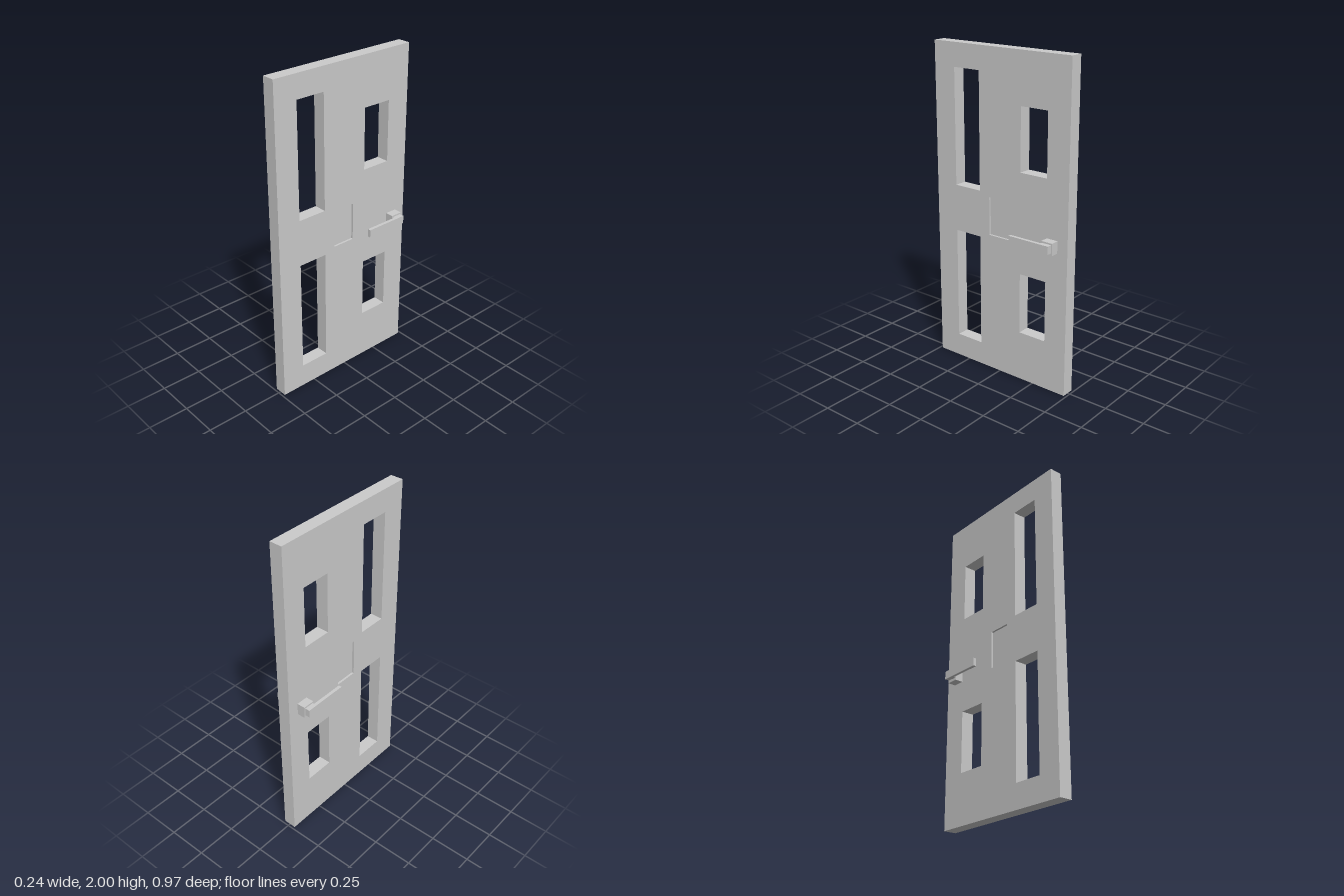
import * as THREE from 'three';

const grey = new THREE.MeshStandardMaterial({ color: 0xcccccc, flatShading: true });

// Box given by its min and max on each axis
function block(name, [x0, x1], [y0, y1], [z0, z1]) {
  const mesh = new THREE.Mesh(new THREE.BoxGeometry(x1 - x0, y1 - y0, z1 - z0), grey);
  mesh.position.set((x0 + x1) / 2, (y0 + y1) / 2, (z0 + z1) / 2);
  mesh.name = name;
  return mesh;
}

// Rectangle outline in the door's plane (z across, y up)
function outline(Type, z0, z1, y0, y1) {
  const path = new Type();
  path.moveTo(z0, y0);
  path.lineTo(z1, y0);
  path.lineTo(z1, y1);
  path.lineTo(z0, y1);
  path.closePath();
  return path;
}

export function createModel() {
  const group = new THREE.Group();
  group.name = 'door';
  const thickness = 0.08;
  const recess = { z: [-0.065, 0.079], y: [0.885, 1.12], depth: 0.013 };

  // Door leaf with four window openings and a central recess
  const leafShape = outline(THREE.Shape, -0.484, 0.484, 0, 2);
  const openings = [
    [0.151, 0.336, 1.147, 1.857],
    [0.151, 0.336, 0.147, 0.857],
    [-0.336, -0.151, 1.312, 1.692],
    [-0.336, -0.151, 0.312, 0.692],
    [...recess.z, ...recess.y],
  ];
  for (const o of openings) leafShape.holes.push(outline(THREE.Path, ...o));
  const leafGeometry = new THREE.ExtrudeGeometry(leafShape, { depth: thickness, bevelEnabled: false });
  leafGeometry.translate(0, 0, -thickness / 2);
  leafGeometry.rotateY(-Math.PI / 2);
  const leaf = new THREE.Mesh(leafGeometry, grey);
  leaf.name = 'doorLeaf';
  group.add(leaf);

  // Thin panel closing the recess, set back from both faces
  const half = thickness / 2 - recess.depth;
  group.add(block('recessedPanel', [-half, half], recess.y, recess.z));

  // Handle on each face: stem, neck and lever
  for (const [name, side] of [['leftHandle', 1], ['rightHandle', -1]]) {
    const span = (a, b) => (side > 0 ? [a, b] : [-b, -a]);
    const handle = new THREE.Group();
    handle.name = name;
    handle.add(
      block('handleStem', span(0.04, 0.092), [0.887, 0.962], [-0.415, -0.341]),
      block('handleNeck', span(0.092, 0.122), [0.903, 0.952], [-0.408, -0.345]),
      block('handleLever', span(0.102, 0.122), [0.903, 0.952], [-0.345, -0.131]),
    );
    group.add(handle);
  }
  return group;
}
